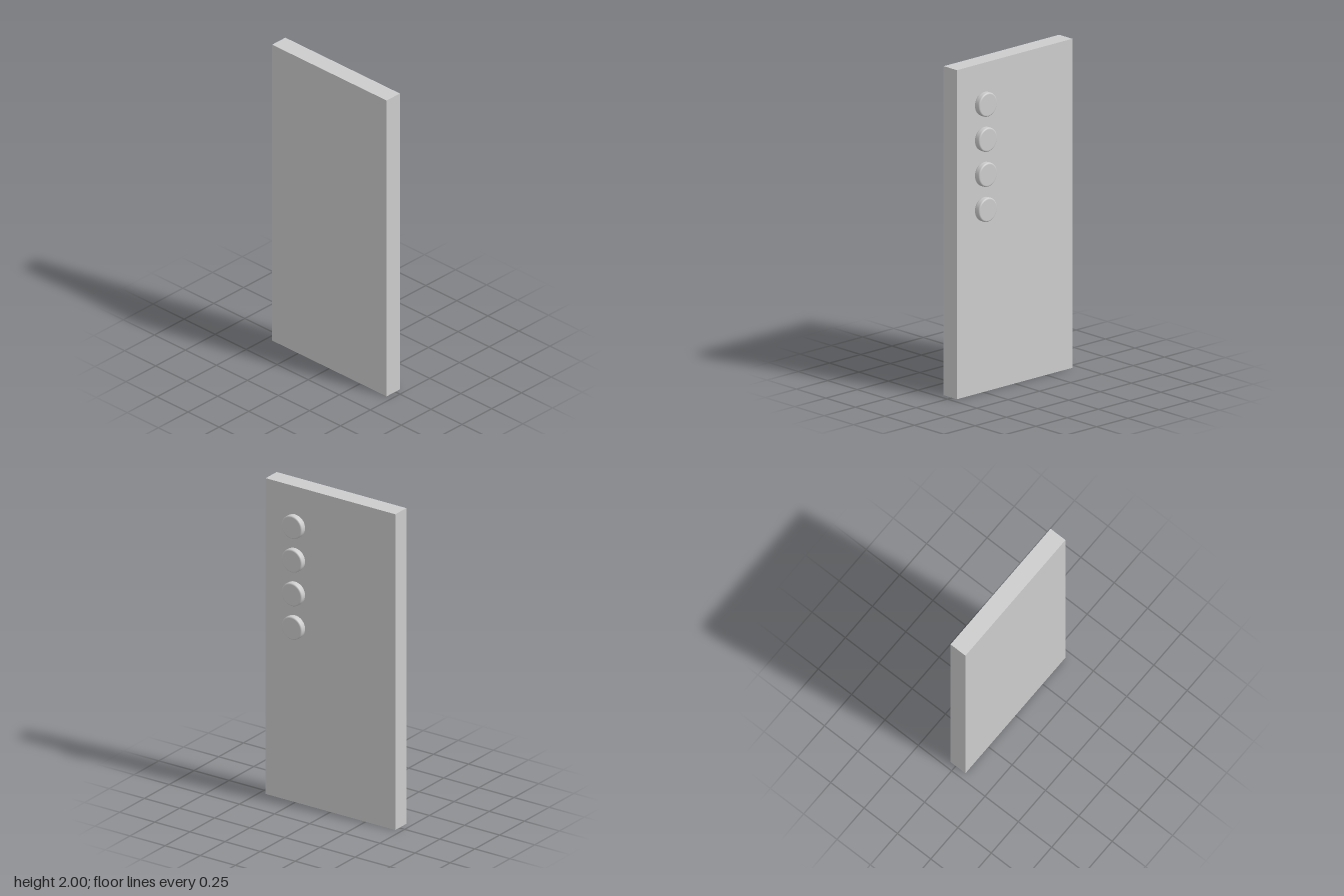
import * as THREE from 'three';

export function createModel() {
  const model = new THREE.Group();
  model.name = 'phone';
  const grey = new THREE.MeshStandardMaterial({ color: 0xcccccc });
  grey.name = 'light grey';

  const add = (name, geometry, x, y, z, parent = model) => {
    const mesh = new THREE.Mesh(geometry, grey);
    mesh.name = name;
    mesh.position.set(x, y, z);
    parent.add(mesh);
    return mesh;
  };

  // Slab body, with a thin screen sheet just ahead of its front face
  const back = -0.0395, front = 0.072;
  add('body', new THREE.BoxGeometry(0.923, 2, front - back), 0, 1, (front + back) / 2);
  add('screen', new THREE.PlaneGeometry(0.862, 1.861), 0, 1, 0.081);

  // Rounded camera rim, turned to point backwards, and its flat glass
  const radius = 0.073, height = 0.042, bevel = 0.009;
  const profile = [new THREE.Vector2(radius - 0.005, 0), new THREE.Vector2(radius - 0.001, 0.006), new THREE.Vector2(radius, 0.013)];
  for (let i = 0; i <= 5; i++) {
    const a = (i / 5) * Math.PI / 2;
    profile.push(new THREE.Vector2(
      radius - bevel + bevel * Math.cos(a),
      height - bevel + bevel * Math.sin(a)
    ));
  }
  const rim = new THREE.LatheGeometry(profile, 40).rotateX(-Math.PI / 2);
  const glass = new THREE.CircleGeometry(radius - bevel, 40).rotateY(Math.PI);

  // Column of four cameras on the back
  for (let i = 0; i < 4; i++) {
    const camera = new THREE.Group();
    camera.name = 'camera' + (i + 1);
    camera.position.set(0.249, 1.754 - i * 0.213, back);
    add('cameraRim', rim, 0, 0, 0, camera);
    add('cameraGlass', glass, 0, 0, -height, camera);
    model.add(camera);
  }
  return model;
}
